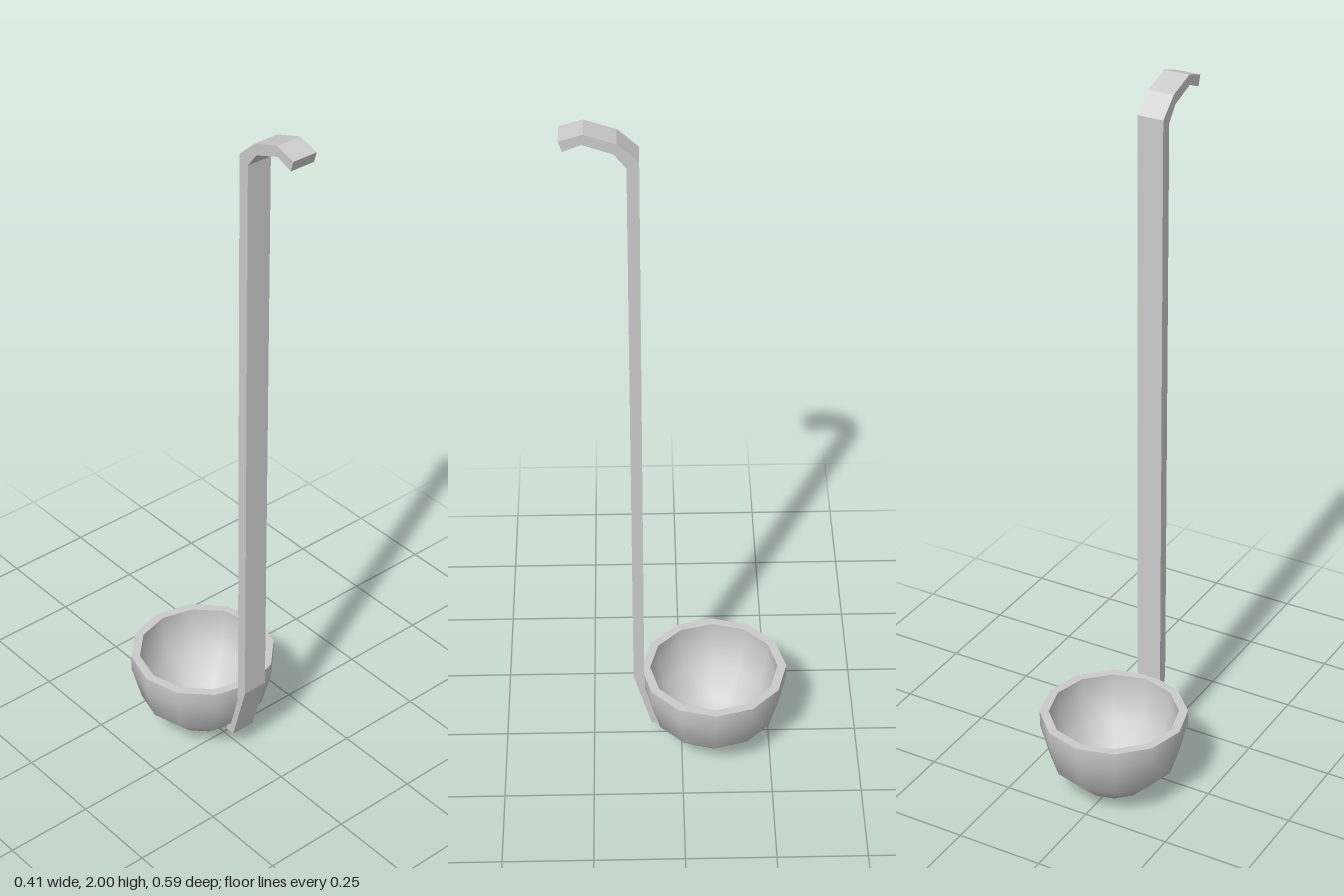
import * as THREE from 'three';

const SIDES = 12;
const BOWL_Z = -0.092;
const RIM_Y = 0.25;
const OUTER = 0.205;
const INNER = 0.18;
const HANDLE_WIDTH = 0.073;

// Half-round profile from the bottom pole up to the straight rim
function bowlProfile(radius) {
  const points = [];
  for (let i = 0; i <= 3; i++) {
    const a = (i * Math.PI) / 6;
    points.push(new THREE.Vector2(radius * Math.sin(a), OUTER - radius * Math.cos(a)));
  }
  points.push(new THREE.Vector2(radius, RIM_Y));
  return points;
}

export function createModel() {
  const material = new THREE.MeshStandardMaterial({ color: 0xcccccc });
  const model = new THREE.Group();
  model.name = 'ladle';

  // Bowl: smooth outside and inside shells joined by a flat rim
  const bowl = new THREE.Group();
  bowl.name = 'bowl';
  bowl.position.z = BOWL_Z;
  const rim = [new THREE.Vector2(OUTER, RIM_Y), new THREE.Vector2(INNER, RIM_Y)];
  const shells = {
    bowlOutside: bowlProfile(OUTER),
    bowlRim: rim,
    bowlInside: bowlProfile(INNER).reverse(),
  };
  for (const [name, profile] of Object.entries(shells)) {
    const mesh = new THREE.Mesh(new THREE.LatheGeometry(profile, SIDES), material);
    mesh.name = name;
    bowl.add(mesh);
  }
  model.add(bowl);

  // Handle: side outline (z, y) of a flat strip with a bent foot and a hook
  const outline = [
    [0.055, 0.07], [0.085, 0.07], [0.135, 0.25], [0.133, 1.905],
    [0.164, 1.945], [0.24, 1.972], [0.287, 1.953],
    [0.296, 1.982], [0.237, 2.0], [0.156, 1.973], [0.102, 1.923], [0.105, 0.25],
  ].map(([z, y]) => new THREE.Vector2(z, y));
  const strip = new THREE.ExtrudeGeometry(new THREE.Shape(outline), {
    depth: HANDLE_WIDTH,
    bevelEnabled: false,
  });
  strip.rotateY(-Math.PI / 2);
  strip.translate(HANDLE_WIDTH / 2, 0, 0);
  const handle = new THREE.Mesh(strip, material);
  handle.name = 'handle';
  model.add(handle);

  return model;
}
